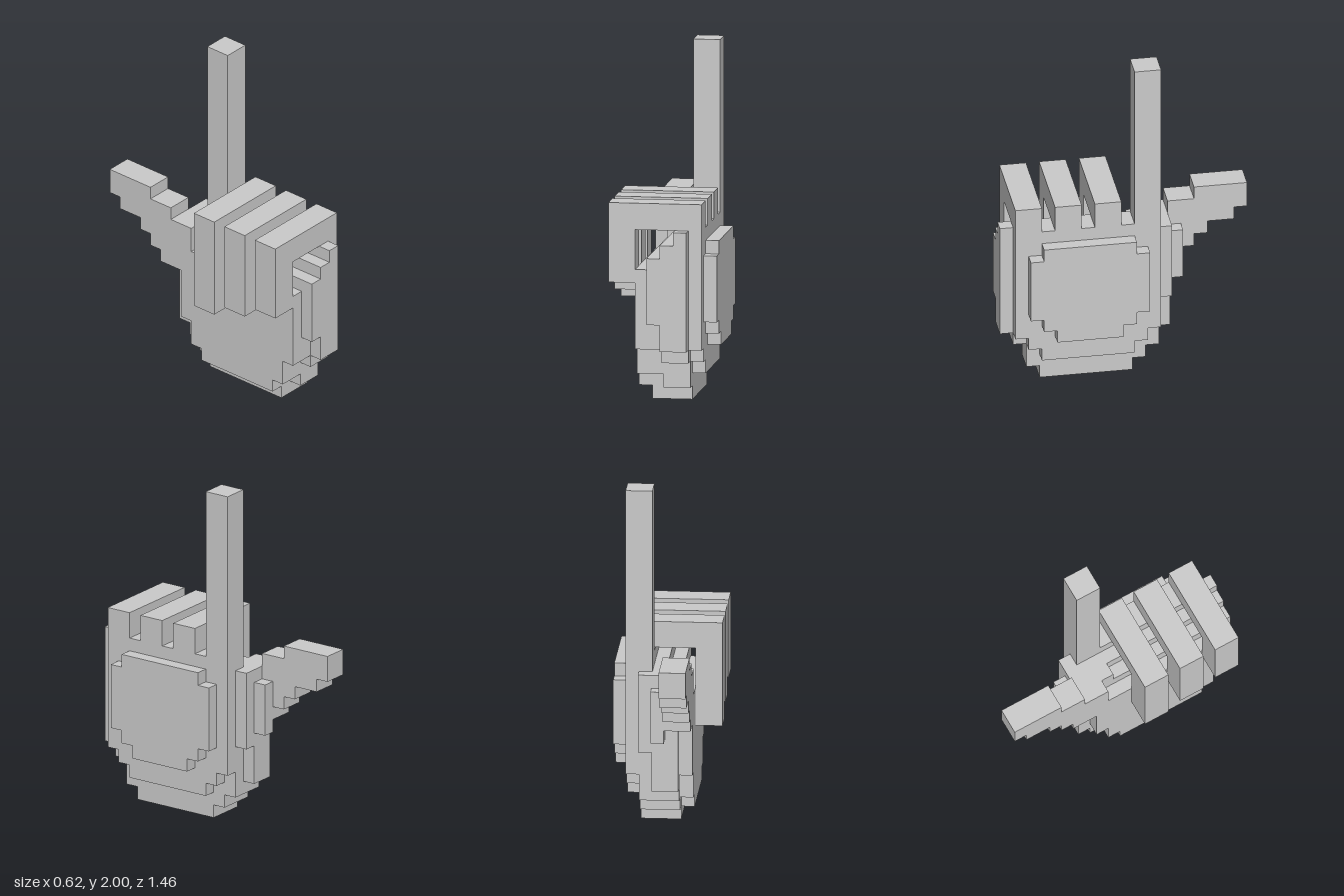
import * as THREE from 'three';

const U = 2 / 26; // one block of the grid
const material = new THREE.MeshStandardMaterial({ color: 0xcccccc, flatShading: true });

function addMesh(parent, name, geometry) {
  geometry.scale(U, U, U);
  const mesh = new THREE.Mesh(geometry, material);
  mesh.name = name;
  parent.add(mesh);
}

// Box between two corners, in blocks
function addBox(parent, name, [x0, y0, z0], [x1, y1, z1]) {
  const g = new THREE.BoxGeometry(x1 - x0, y1 - y0, z1 - z0);
  g.translate((x0 + x1) / 2, (y0 + y1) / 2, (z0 + z1) / 2);
  addMesh(parent, name, g);
}

// Slab from x0 to x1 with a stepped outline; each row is [bottom, top, back z, front z]
function addSlab(parent, name, x0, x1, rows) {
  const back = [], front = [];
  for (const [y0, y1, z0, z1] of rows) {
    back.push(new THREE.Vector2(-z0, y0), new THREE.Vector2(-z0, y1));
    front.unshift(new THREE.Vector2(-z1, y1), new THREE.Vector2(-z1, y0));
  }
  const shape = new THREE.Shape([...back, ...front]);
  const g = new THREE.ExtrudeGeometry(shape, { depth: x1 - x0, bevelEnabled: false });
  g.rotateY(Math.PI / 2);
  g.translate(x0, 0, 0);
  addMesh(parent, name, g);
}

export function createModel() {
  const hand = new THREE.Group();
  hand.name = 'pointingHand';

  // Raised pad on the back of the hand
  addSlab(hand, 'backPad', 3, 4, [
    [4, 5, 0.5, 5.5], [5, 6, -0.5, 6.5], [6, 11, -1.5, 7.5], [11, 12, -0.5, 6.5],
  ]);

  // Palm, in layers from the back of the hand to the cupped inside
  const palm = new THREE.Group();
  palm.name = 'palm';
  hand.add(palm);
  addSlab(palm, 'palmOuterLayer', 2, 3, [
    [2, 3, -0.5, 6.5], [3, 4, -1.5, 7.5], [4, 13, -2.5, 8.5],
  ]);
  addSlab(palm, 'palmKnuckleLayer', 1, 2, [
    [0, 1, -0.5, 6.5], [1, 2, -1.5, 7.5], [2, 3, -2.5, 7.5], [3, 4, -2.5, 8.5],
    [4, 6, -2.5, 9.5], [6, 12, -3.5, 9.5], [12, 13, -2.5, 9.5],
  ]);
  addSlab(palm, 'palmMiddleLayer', 0, 1, [
    [0, 1, -0.5, 6.5], [1, 2, -1.5, 7.5], [2, 3, -2.5, 7.5], [3, 4, -3.5, 8.5],
    [4, 7, -3.5, 9.5], [7, 11, -4.5, 9.5], [11, 12, -3.5, 9.5],
  ]);
  addSlab(palm, 'palmInnerLayer', -1, 0, [
    [0, 1, -0.5, 6.5], [1, 2, -1.5, 6.5], [2, 3, -2.5, 7.5], [3, 4, -3.5, 7.5],
    [4, 6, -3.5, 8.5], [6, 11, -3.5, 9.5], [11, 12, -3.5, -0.5],
  ]);
  addSlab(palm, 'palmInnermostLayer', -2, -1, [
    [1, 2, -0.5, 6.5], [2, 4, -1.5, 7.5], [4, 10, -2.5, 8.5], [10, 12, -2.5, -1.5],
  ]);

  // Thumb, stepping up and back
  addSlab(hand, 'thumb', -2, 0, [
    [8, 9, -4.5, -2.5], [9, 10, -5.5, -2.5], [10, 11, -6.5, -2.5],
    [11, 12, -8.5, -2.5], [12, 13, -9.5, -3.5], [13, 14, -9.5, -5.5],
  ]);

  // Raised index finger
  addBox(hand, 'indexFinger', [1, 13, -2.5], [3, 26, -0.5]);

  // Three curled fingers, each tip a block higher than the last
  ['middleFinger', 'ringFinger', 'littleFinger'].forEach((name, i) => {
    const z = 0.5 + 3 * i;
    const finger = new THREE.Group();
    finger.name = name;
    addBox(finger, name + 'Knuckle', [-4, 13, z], [3, 15, z + 2]);
    addBox(finger, name + 'Tip', [-4, 7 + i, z], [-2, 13, z + 2]);
    hand.add(finger);
  });

  return hand;
}
